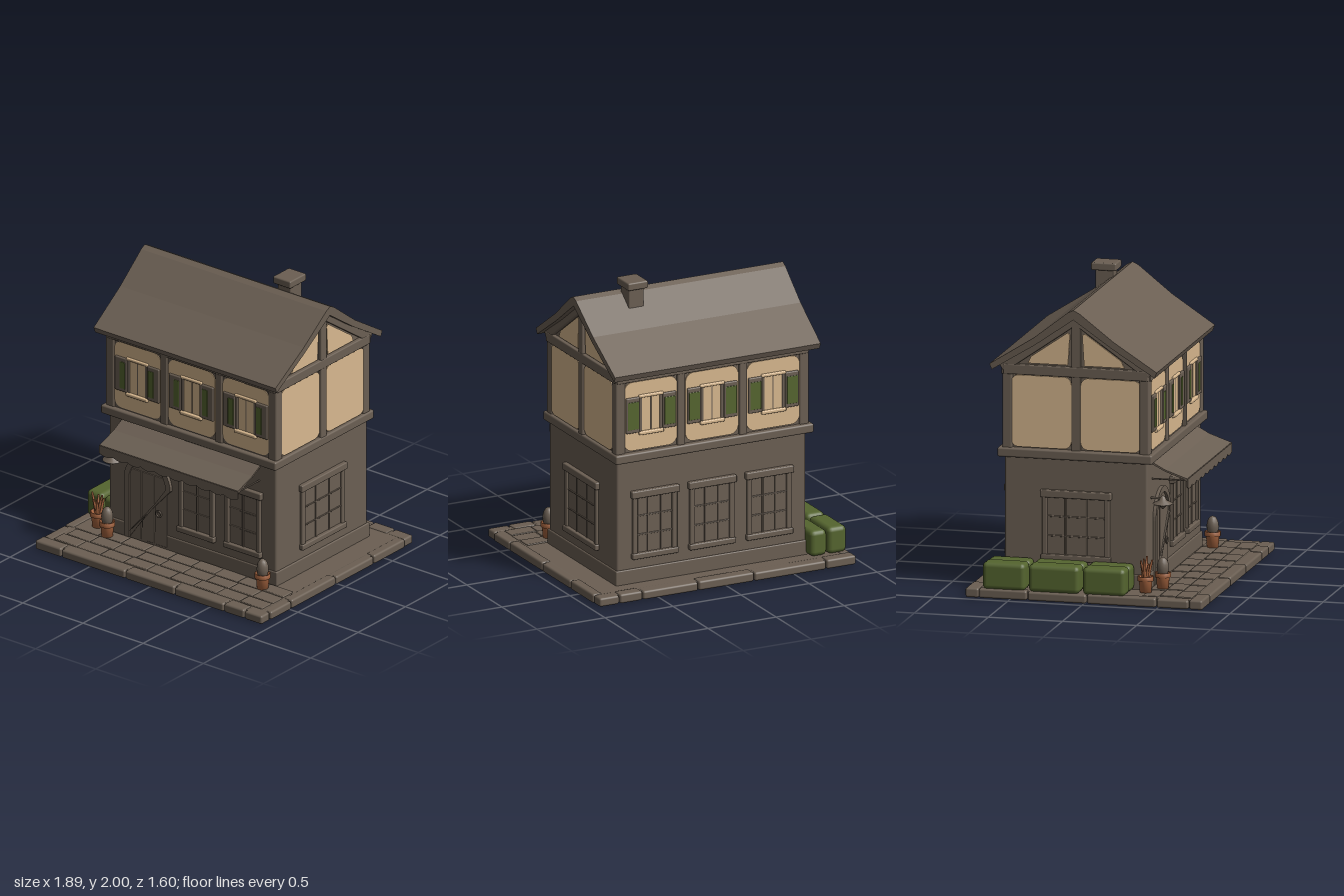
import * as THREE from 'three';
import { RoundedBoxGeometry } from 'three/addons/geometries/RoundedBoxGeometry.js';

const mat = (name, color) => {
  const m = new THREE.MeshStandardMaterial({ color, side: THREE.DoubleSide });
  m.name = name;
  return m;
};

export function createModel() {
  const stone = mat('weathered stone', 0x6b5f53);
  const plaster = mat('cream plaster', 0xd8b88f);
  const green = mat('leaf green', 0x55652f);
  const clay = mat('terracotta', 0xa5643f);
  const model = new THREE.Group();
  model.name = 'townhouse';

  const add = (parent, name, geo, m, x = 0, y = 0, z = 0) => {
    const mesh = new THREE.Mesh(geo, m);
    mesh.name = name;
    mesh.position.set(x, y, z);
    parent.add(mesh);
    return mesh;
  };
  // Soft-edged box given by its limits
  const block = (parent, name, x0, x1, y0, y1, z0, z1, m = stone, r = 0.008) => {
    const s = [x1 - x0, y1 - y0, z1 - z0];
    const geo = new RoundedBoxGeometry(...s, 2, Math.min(r, Math.min(...s) * 0.45));
    return add(parent, name, geo, m, (x0 + x1) / 2, (y0 + y1) / 2, (z0 + z1) / 2);
  };
  const group = (parent, name) => {
    const g = new THREE.Group();
    g.name = name;
    parent.add(g);
    return g;
  };
  const extrude = (shape, depth) =>
    new THREE.ExtrudeGeometry(shape, { depth, bevelEnabled: false, curveSegments: 12 });
  const polygon = (pts) => new THREE.Shape(pts.map((p) => new THREE.Vector2(...p)));
  const roundRect = (x0, x1, y0, y1, r) => {
    const s = new THREE.Shape();
    s.absarc(x1 - r, y1 - r, r, 0, Math.PI / 2);
    s.absarc(x0 + r, y1 - r, r, Math.PI / 2, Math.PI);
    s.absarc(x0 + r, y0 + r, r, Math.PI, Math.PI * 1.5);
    s.absarc(x1 - r, y0 + r, r, Math.PI * 1.5, Math.PI * 2);
    return s;
  };

  // Paved base: inner slab, rim stones and a low paving pattern
  const base = group(model, 'pavedBase');
  block(base, 'slab', -0.92, 0.91, 0.004, 0.056, -0.77, 0.77, stone, 0.005);
  const rimX = [-0.95, -0.73, -0.2, 0.21, 0.62, 0.79, 0.94];
  const rimZ = [-0.71, -0.38, 0.02, 0.49, 0.71];
  for (let i = 0; i < rimX.length - 1; i++)
    for (const z of [-0.8, 0.71])
      block(base, 'rimStone', rimX[i], rimX[i + 1] - 0.006, 0, 0.063 - (i % 2) * 0.004, z, z + 0.09, stone, 0.014);
  for (let i = 0; i < rimZ.length - 1; i++)
    for (const x of [-0.95, 0.87])
      block(base, 'rimStone', x, x + 0.07, 0, 0.062 - (i % 2) * 0.004, rimZ[i], rimZ[i + 1] - 0.006, stone, 0.014);
  for (let row = 0; row < 3; row++)
    for (let i = 0; i < 9; i++) {
      const x = -0.87 + i * 0.193 + (row % 2) * 0.02;
      block(base, 'pavingStone', x, Math.min(x + 0.187, 0.865), 0.04, 0.06 + ((i + row) % 3) * 0.002,
        0.375 + row * 0.112, 0.481 + row * 0.112, stone, 0.006);
    }

  // Storeys with a gabled upper wall
  const body = group(model, 'body');
  block(body, 'groundFloor', -0.68, 0.71, 0.05, 0.92, -0.605, 0.36, stone, 0.015);
  block(body, 'plinth', -0.69, 0.72, 0.05, 0.155, -0.615, 0.368);
  const gable = extrude(polygon([[-0.365, 0.9], [0.605, 0.9], [0.605, 1.52], [0.12, 1.86], [-0.365, 1.52]]), 1.38);
  gable.rotateY(Math.PI / 2);
  add(body, 'upperFloor', gable, stone, -0.675, 0, 0);
  block(body, 'floorBeam', -0.72, 0.735, 0.9, 0.962, -0.645, 0.4, stone, 0.012);
  for (const x of [-0.698, 0.652])
    for (const z of [-0.618, 0.308])
      block(body, 'cornerPost', x, x + 0.07, 0.95, 1.5, z, z + 0.068, stone, 0.012);

  // Each wall has a local frame: x along the wall, z outwards
  const wall = (name, x, z, angle) => {
    const g = group(model, name);
    g.position.set(x, 0, z);
    g.rotation.y = angle;
    return g;
  };
  const front = wall('frontWall', 0.015, 0.36, 0);
  const back = wall('backWall', 0.015, -0.605, Math.PI);
  const sides = [wall('leftWall', 0.71, -0.12, Math.PI / 2), wall('rightWall', -0.68, -0.12, -Math.PI / 2)];

  // Ground floor window with lintel, sill and glazing bars
  const lowWindow = (parent, cx, w, cols) => {
    const g = group(parent, 'window');
    g.position.x = cx;
    const h = w / 2;
    block(g, 'pane', -h, h, 0.25, 0.65, -0.01, 0.004);
    for (const s of [-1, 1]) block(g, 'jamb', s * h - 0.018, s * h + 0.018, 0.24, 0.66, -0.01, 0.02);
    block(g, 'lintel', -h - 0.03, h + 0.03, 0.642, 0.692, -0.01, 0.03);
    block(g, 'sill', -h - 0.025, h + 0.025, 0.222, 0.262, -0.01, 0.03);
    for (let i = 1; i < cols; i++) {
      const x = -h + (w * i) / cols;
      block(g, 'glazingBar', x - 0.006, x + 0.006, 0.25, 0.65, 0, 0.011, stone, 0.003);
    }
    for (const y of [0.385, 0.515]) block(g, 'glazingBar', -h, h, y - 0.005, y + 0.005, 0, 0.01, stone, 0.003);
  };
  for (const x of [0.04, 0.425]) lowWindow(front, x, 0.26, 2);
  for (const x of [-0.42, 0, 0.42]) lowWindow(back, x, 0.29, 3);
  for (const s of sides) lowWindow(s, 0, 0.42, 3);

  // Upper front and back: posts, plaster panels, shuttered windows
  const upperWindow = (parent, cx, leafGreen) => {
    const g = group(parent, 'shutteredWindow');
    g.position.x = cx;
    block(g, 'pane', -0.085, 0.085, 1.1, 1.33, -0.01, 0.004);
    for (const s of [-1, 1]) {
      block(g, 'jamb', s * 0.075 - 0.012, s * 0.075 + 0.012, 1.095, 1.335, -0.005, 0.016);
      block(g, 'shutter', s * 0.135 - 0.05, s * 0.135 + 0.05, 1.095, 1.34, 0.002, 0.022);
      const [inner, outer] = leafGreen;
      const a = s * inner, b = s * outer;
      block(g, 'shutterPaint', Math.min(a, b), Math.max(a, b), 1.12, 1.31, 0.019, 0.025, green, 0.002);
    }
    block(g, 'glazingBar', -0.005, 0.005, 1.1, 1.33, 0, 0.01, stone, 0.003);
    block(g, 'sill', -0.09, 0.09, 1.075, 1.1, -0.005, 0.028, plaster);
    block(g, 'head', -0.09, 0.09, 1.33, 1.352, -0.005, 0.022, plaster);
  };
  for (const [w, leaf] of [[front, [0.095, 0.14]], [back, [0.095, 0.175]]]) {
    for (const x of [-0.45, 0, 0.45]) {
      add(w, 'plasterPanel', extrude(roundRect(x - 0.194, x + 0.194, 0.972, 1.444, 0.06), 0.008), plaster, 0, 0, 0.001);
      upperWindow(w, x, leaf);
    }
    for (const x of [-0.228, 0.228]) block(w, 'post', x - 0.028, x + 0.028, 0.95, 1.5, -0.02, 0.02);
    block(w, 'topBeam', -0.7, 0.7, 1.448, 1.5, -0.02, 0.022);
  }

  // Timbered gable ends
  const triangle = [[0.055, 1.53], [0.325, 1.53], [0.305, 1.575], [0.06, 1.745], [0.042, 1.735]];
  for (const w of sides) {
    block(w, 'middlePost', -0.03, 0.03, 0.95, 1.83, -0.02, 0.02);
    block(w, 'crossBeam', -0.49, 0.49, 1.452, 1.52, -0.02, 0.022);
    for (const s of [-1, 1]) {
      const x = s * 0.235;
      add(w, 'plasterPanel', extrude(roundRect(x - 0.203, x + 0.203, 0.968, 1.448, 0.05), 0.008), plaster);
      const t = triangle.map(([u, y]) => [s * u, y]);
      if (s < 0) t.reverse();
      add(w, 'gablePlaster', extrude(polygon(t), 0.008), plaster);
      const rafter = add(w, 'rafter', new RoundedBoxGeometry(0.62, 0.06, 0.04, 2, 0.008), stone, s * 0.245, 1.665, 0);
      rafter.rotation.z = -s * Math.atan2(0.37, 0.53);
    }
  }

  // Roof: folded slab, a little longer at the ridge than at the eaves
  const roof = extrude(polygon([
    [-0.44, 1.525], [-0.15, 1.715], [0.08, 1.895], [0.12, 1.915], [0.16, 1.895], [0.39, 1.715], [0.69, 1.525],
    [0.675, 1.487], [0.38, 1.668], [0.12, 1.85], [-0.14, 1.668], [-0.425, 1.487]]), 1.51);
  roof.translate(0, 0, -0.755).rotateY(Math.PI / 2);
  const p = roof.attributes.position;
  for (let i = 0; i < p.count; i++) p.setX(i, p.getX(i) * (1 + 0.05 * (p.getY(i) - 1.5)));
  roof.computeVertexNormals();
  add(model, 'roof', roof, stone, 0.01, 0, 0);

  const chimney = group(model, 'chimney');
  block(chimney, 'stack', 0.33, 0.44, 1.74, 1.96, -0.255, -0.135);
  block(chimney, 'cap', 0.31, 0.457, 1.948, 2, -0.28, -0.11, stone, 0.01);

  // Arched door
  const arch = (r, top, bottom) => {
    const s = new THREE.Shape();
    s.moveTo(r, bottom);
    s.absarc(0, top - r, r, 0, Math.PI);
    s.lineTo(-r, bottom);
    s.closePath();
    return s;
  };
  const door = group(front, 'door');
  door.position.x = -0.362;
  const frame = arch(0.192, 0.68, 0.06);
  frame.holes.push(arch(0.152, 0.64, 0.061));
  add(door, 'doorFrame', extrude(frame, 0.022), stone);
  add(door, 'doorLeaf', extrude(arch(0.152, 0.64, 0.06), 0.006), stone);
  for (const x of [-0.105, 0, 0.105]) block(door, 'plank', x - 0.049, x + 0.049, 0.07, 0.56, 0, 0.012, stone, 0.004);
  add(door, 'handle', new THREE.TorusGeometry(0.02, 0.006, 8, 16), stone, 0.095, 0.3, 0.02);

  // Awning with scalloped valance and side rods
  const awning = group(model, 'awning');
  const cloth = extrude(polygon([[-0.355, 0.892], [-0.45, 0.84], [-0.6, 0.788], [-0.6, 0.775], [-0.45, 0.828], [-0.355, 0.878]]), 1.15);
  cloth.rotateY(Math.PI / 2);
  add(awning, 'cloth', cloth, stone, -0.57, 0, 0);
  const valance = new THREE.Shape();
  valance.moveTo(-0.57, 0.785);
  valance.lineTo(-0.57, 0.73);
  for (let i = 0; i < 10; i++) {
    const x = -0.57 + i * 0.115;
    valance.quadraticCurveTo(x + 0.0575, 0.7, x + 0.115, 0.73);
  }
  valance.lineTo(0.58, 0.785);
  add(awning, 'valance', extrude(valance, 0.008), stone, 0, 0, 0.596);
  for (const x of [-0.565, 0.565]) block(awning, 'rod', x, x + 0.01, 0.77, 0.78, 0.35, 0.6, stone, 0.003);

  // Wall lamp
  const lamp = group(model, 'wallLamp');
  lamp.position.set(-0.587, 0, 0.44);
  block(lamp, 'arm', -0.008, 0.008, 0.645, 0.66, -0.09, 0.01);
  const shade = [[0.001, 0.672], [0.015, 0.665], [0.025, 0.64], [0.068, 0.62], [0.06, 0.612], [0.025, 0.605], [0.001, 0.58]];
  add(lamp, 'shade', new THREE.LatheGeometry(shade.reverse().map((q) => new THREE.Vector2(...q)), 16), stone);

  // Potted plants
  const pot = (x, z, spiky) => {
    const g = group(model, 'pottedPlant');
    g.position.set(x, 0.06, z);
    const profile = [[0.001, 0], [0.038, 0], [0.044, 0.075], [0.053, 0.077], [0.053, 0.107], [0.043, 0.107], [0.04, 0.092], [0.001, 0.092]];
    add(g, 'pot', new THREE.LatheGeometry(profile.map((q) => new THREE.Vector2(...q)), 18), clay);
    if (!spiky) {
      const leaf = add(g, 'cactus', new THREE.SphereGeometry(0.04, 14, 10), stone, 0, 0.14, 0);
      leaf.scale.set(1, 1.75, 1);
      return;
    }
    for (let i = 0; i < 6; i++) {
      const a = (i * Math.PI) / 3, r = i % 2 ? 0.028 : 0.016;
      const stem = add(g, 'stem', new THREE.CylinderGeometry(0.006, 0.014, 0.16 - (i % 3) * 0.02, 8), clay,
        Math.cos(a) * r, 0.155 - (i % 3) * 0.01, Math.sin(a) * r);
      stem.rotation.set(Math.sin(a) * 0.25, 0, -Math.cos(a) * 0.25);
    }
  };
  pot(-0.625, 0.45, false);
  pot(0.667, 0.45, false);
  pot(-0.765, 0.37, true);

  // Clipped hedge, two rows of three bushes
  for (const [z0, z1] of [[-0.69, -0.4], [-0.38, -0.035], [-0.015, 0.275]])
    for (const [x0, x1, top] of [[-0.94, -0.802, 0.238], [-0.795, -0.675, 0.232]])
      block(model, 'hedge', x0, x1, 0.055, top, z0, z1, green, 0.032);

  return model;
}
